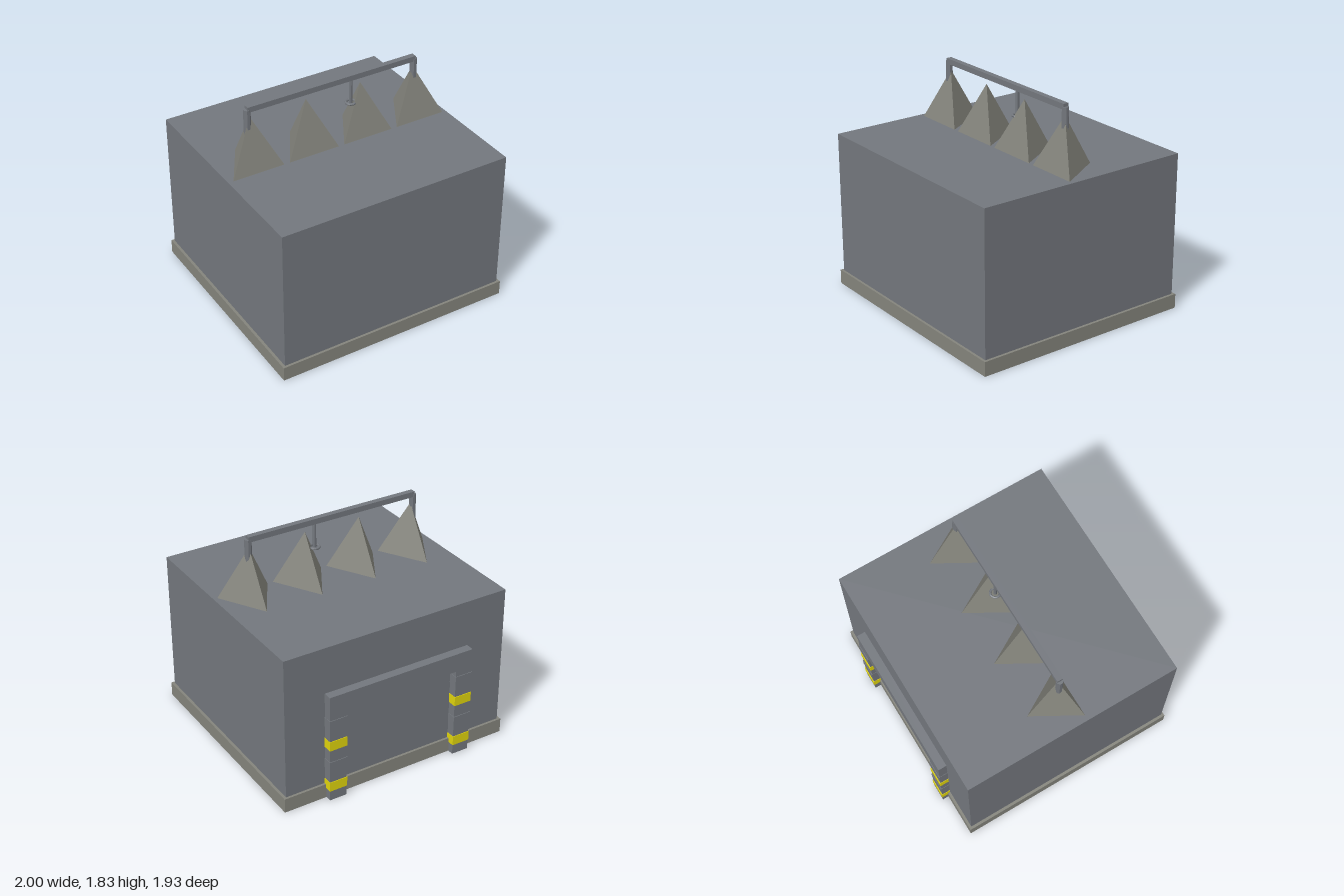
import * as THREE from 'three';

const mat = (color) => new THREE.MeshStandardMaterial({ color, flatShading: true });

export function createModel() {
  const model = new THREE.Group();
  const steel = mat(0x73777d);
  const stone = mat(0x84847c);
  const yellow = mat(0xe0d40c);

  const add = (name, geometry, material, x, y, z) => {
    const mesh = new THREE.Mesh(geometry, material);
    mesh.name = name;
    mesh.position.set(x, y, z);
    model.add(mesh);
    return mesh;
  };
  // Box given by its minimum and maximum corners
  const box = (name, material, [x0, y0, z0], [x1, y1, z1]) =>
    add(name, new THREE.BoxGeometry(x1 - x0, y1 - y0, z1 - z0), material,
      (x0 + x1) / 2, (y0 + y1) / 2, (z0 + z1) / 2);

  // Main block on its plinth
  box('plinth', stone, [-1, 0, -0.91], [1, 0.12, 0.965]);
  box('body', steel, [-0.978, 0.1, -0.89], [0.978, 1.305, 0.945]);

  // Row of three-sided roof spikes, one corner pointing to the back
  const spike = new THREE.ConeGeometry(0.25, 0.425, 3).rotateY(Math.PI);
  for (let i = 0; i < 4; i++) {
    add('roofSpike', spike, stone, -0.718 + i * 0.482, 1.5175, 0.027);
  }

  // Overhead rail with end posts
  box('rail', steel, [-0.742, 1.78, 0.006], [0.739, 1.825, 0.052]);
  const post = new THREE.CylinderGeometry(0.028, 0.028, 0.21, 8).rotateY(Math.PI / 8);
  for (const x of [-0.738, 0.734]) add('railPost', post, steel, x, 1.695, 0.029);

  // Hanging rod with a ring
  add('hangingRod', new THREE.CylinderGeometry(0.014, 0.014, 0.21, 8), steel, 0.161, 1.68, 0.029);
  add('rodRing', new THREE.TorusGeometry(0.038, 0.01, 8, 20).rotateX(Math.PI / 2), steel, 0.161, 1.58, 0.029);

  // Gate frame on the back wall
  const outer = 0.638, inner = 0.492, top = 0.92, lintel = 0.765;
  const outline = new THREE.Shape([
    [-outer, 0], [-inner, 0], [-inner, lintel], [inner, lintel],
    [inner, 0], [outer, 0], [outer, top], [-outer, top],
  ].map(([x, y]) => new THREE.Vector2(x, y)));
  add('gateFrame', new THREE.ExtrudeGeometry(outline, { depth: 0.08, bevelEnabled: false }),
    steel, 0, 0, -0.961);

  // Slightly raised bands on both gate pillars, alternately yellow and plain
  for (const side of [-1, 1]) {
    for (let i = 0; i < 4; i++) {
      const band = new THREE.BoxGeometry(outer - inner + 0.006, 0.08, 0.083);
      add(i % 2 ? 'plainBand' : 'warningBand', band, i % 2 ? steel : yellow,
        side * (outer + inner) / 2, 0.125 + i * 0.184, -0.9245);
    }
  }

  return model;
}
